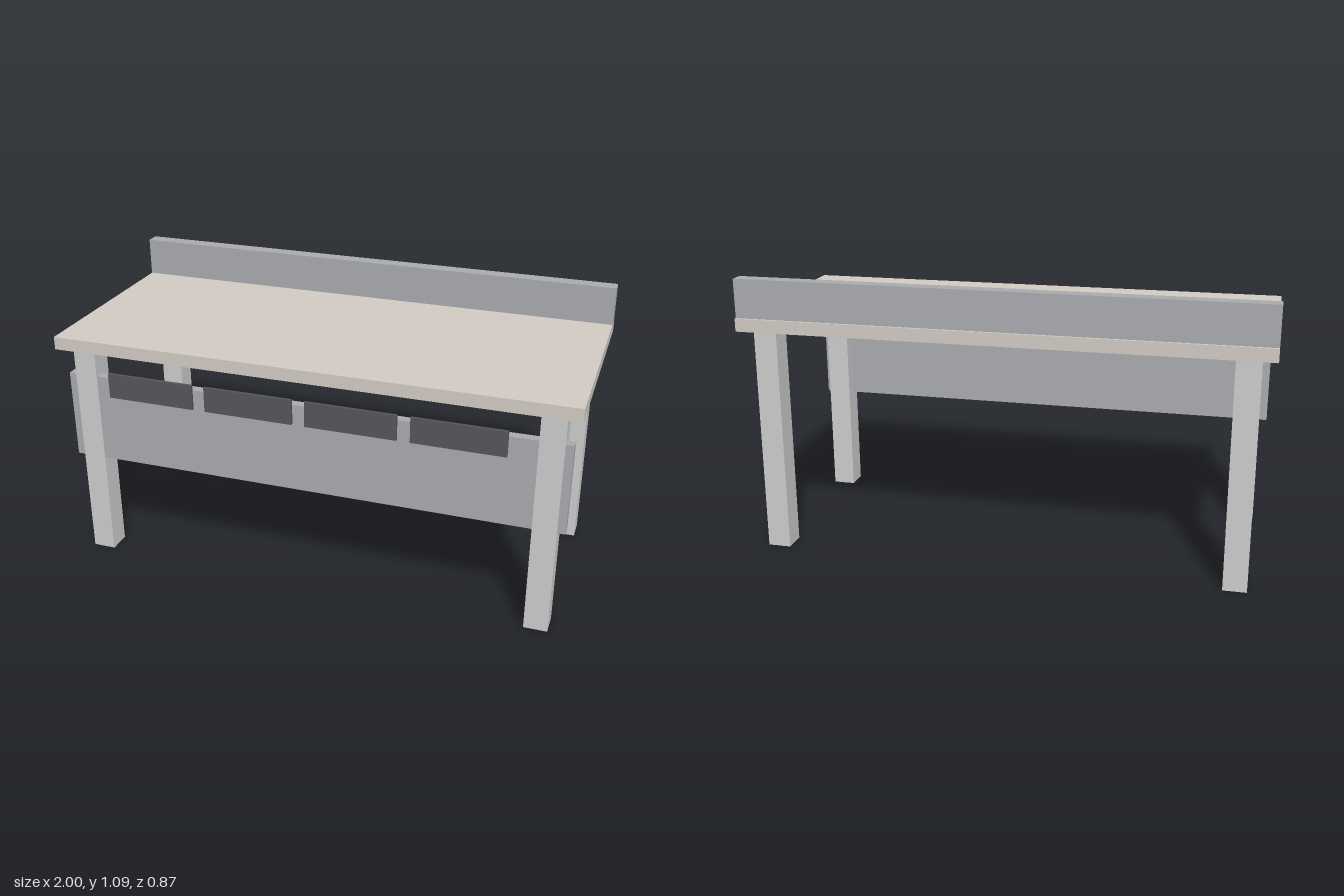
import * as THREE from 'three';

export function createModel() {
  const group = new THREE.Group();
  group.name = 'workbench';

  const material = (color) => new THREE.MeshStandardMaterial({ color });
  const legMat = material(0xcccccc);
  const topMat = material(0xd0cac2);
  const panelMat = material(0xa9aaae);
  const darkMat = material(0x56565a);

  // Box given by its extents along each axis
  function box(name, mat, [x0, x1], [y0, y1], [z0, z1]) {
    const mesh = new THREE.Mesh(new THREE.BoxGeometry(x1 - x0, y1 - y0, z1 - z0), mat);
    mesh.position.set((x0 + x1) / 2, (y0 + y1) / 2, (z0 + z1) / 2);
    mesh.name = name;
    group.add(mesh);
  }

  // Worktop with a raised board along the back
  box('worktop', topMat, [-1, 1], [0.888, 0.938], [-0.437, 0.437]);
  box('backboard', panelMat, [-1, 1], [0.938, 1.088], [-0.427, -0.371]);

  // Four square legs
  for (const sx of [-1, 1]) {
    for (const sz of [-1, 1]) {
      const x = sx * 0.9, z = sz * 0.353, h = 0.045;
      const name = (sz > 0 ? 'front' : 'back') + (sx > 0 ? 'Left' : 'Right') + 'Leg';
      box(name, legMat, [x - h, x + h], [0, 0.888], [z - h, z + h]);
    }
  }

  // Front panel running through the front legs
  box('frontPanel', panelMat, [-0.975, 0.975], [0.425, 0.777], [0.359, 0.395]);

  // Row of thin dark plates on the panel
  for (let i = 0; i < 4; i++) {
    const x = -0.8 + i * 0.4;
    box('frontPlate' + (i + 1), darkMat, [x, x + 0.35], [0.7, 0.8], [0.395, 0.406]);
  }

  return group;
}
